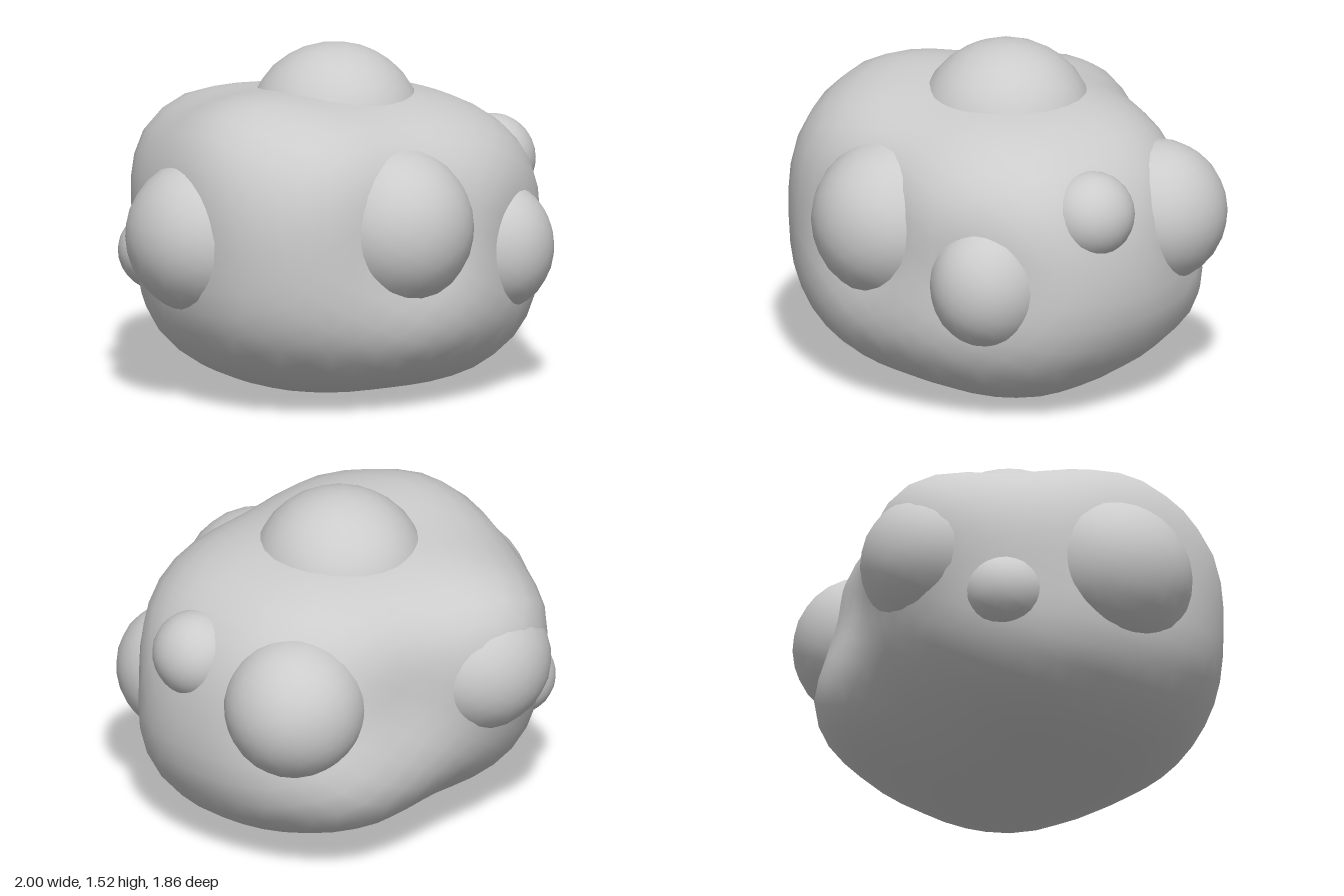
import * as THREE from 'three';
import { mergeVertices } from 'three/addons/utils/BufferGeometryUtils.js';

const material = new THREE.MeshStandardMaterial({ color: 0xcccccc });

// Welded, smoothly shaded ball
function ball(detail) {
  const g = new THREE.IcosahedronGeometry(1, detail);
  g.deleteAttribute('uv');
  g.deleteAttribute('normal');
  return mergeVertices(g, 1e-4);
}

// Swellings and dents of the body: direction, amount, sharpness
const lumps = [
  [[-0.68, 0.65, 0.1], 0.14, 12],     // right shoulder
  [[-0.45, 0.55, 0.6], 0.07, 14],     // upper front corner
  [[-0.33, 0.43, -0.83], 0.17, 14],   // upper back corner
  [[0.52, -0.27, -0.66], 0.06, 18],   // lower back ridge
  [[0.45, -0.6, 0.2], 0.04, 12],      // low point of the underside
  [[-0.1, -0.3, 0.75], 0.05, 14],     // lower front
  [[-0.08, -0.5, -0.57], -0.09, 9],   // hollow under the back
  [[0.5, -0.55, -0.5], -0.04, 14],    // hollow under the ridge
  [[-0.76, -0.05, -0.42], -0.06, 12], // hollow at the back right
  [[-0.85, 0.1, 0.03], -0.04, 20],    // hollow at the right
  [[0.28, 0.15, -0.8], -0.13, 14],    // hollow at the back
  [[0.7, 0.1, -0.48], -0.1, 14],      // hollow at the back left
  [[0.82, 0.22, 0.1], -0.03, 20],     // hollow at the left
  [[0.52, 0, 0.6], -0.11, 14],        // hollow at the front left
  [[-0.06, 0.12, 0.8], -0.14, 14],    // hollow at the front
].map(([d, amount, k]) => ({ dir: new THREE.Vector3(...d).normalize(), amount, k }));

// Body: a boxy ellipsoid with lumps
function bodyGeometry() {
  const g = ball(8);
  const pos = g.attributes.position;
  const v = new THREE.Vector3();
  const p = 2.5;
  for (let i = 0; i < pos.count; i++) {
    v.fromBufferAttribute(pos, i).normalize();
    let r = Math.pow(
      Math.pow(Math.abs(v.x) / 0.92, p) + Math.pow(Math.abs(v.y) / 0.66, p) + Math.pow(Math.abs(v.z) / 0.82, p),
      -1 / p
    );
    let f = 1;
    for (const { dir, amount, k } of lumps) f += amount * Math.exp(k * (v.dot(dir) - 1));
    r *= f;
    pos.setXYZ(i, v.x * r + 0.06, Math.max(0, v.y * r + 0.665), v.z * r + 0.01);
  }
  g.computeVertexNormals();
  return g;
}

// Round bumps: name, centre, radii
const bumps = [
  ['topBump', [0.07, 1.15, -0.02], [0.385, 0.37, 0.39]],
  ['frontBump', [-0.01, 0.81, 0.565], [0.35, 0.36, 0.365]],
  ['frontLeftBump', [0.575, 0.645, 0.5], [0.25, 0.29, 0.27]],
  ['leftBump', [0.81, 0.94, 0.115], [0.19, 0.195, 0.2]],
  ['backLeftBump', [0.675, 0.815, -0.375], [0.315, 0.32, 0.315]],
  ['rightBump', [-0.67, 0.75, 0.03], [0.33, 0.345, 0.35]],
  ['backBump', [-0.2, 0.83, -0.6], [0.34, 0.32, 0.335]],
  ['backRightBump', [-0.55, 0.58, -0.48], [0.185, 0.18, 0.185]],
];

export function createModel() {
  const group = new THREE.Group();
  group.name = 'lumpyRock';

  const body = new THREE.Mesh(bodyGeometry(), material);
  body.name = 'body';
  group.add(body);

  for (const [name, centre, radii] of bumps) {
    const g = ball(4);
    g.scale(...radii);
    g.computeVertexNormals();
    const bump = new THREE.Mesh(g, material);
    bump.name = name;
    bump.position.set(...centre);
    group.add(bump);
  }
  return group;
}
